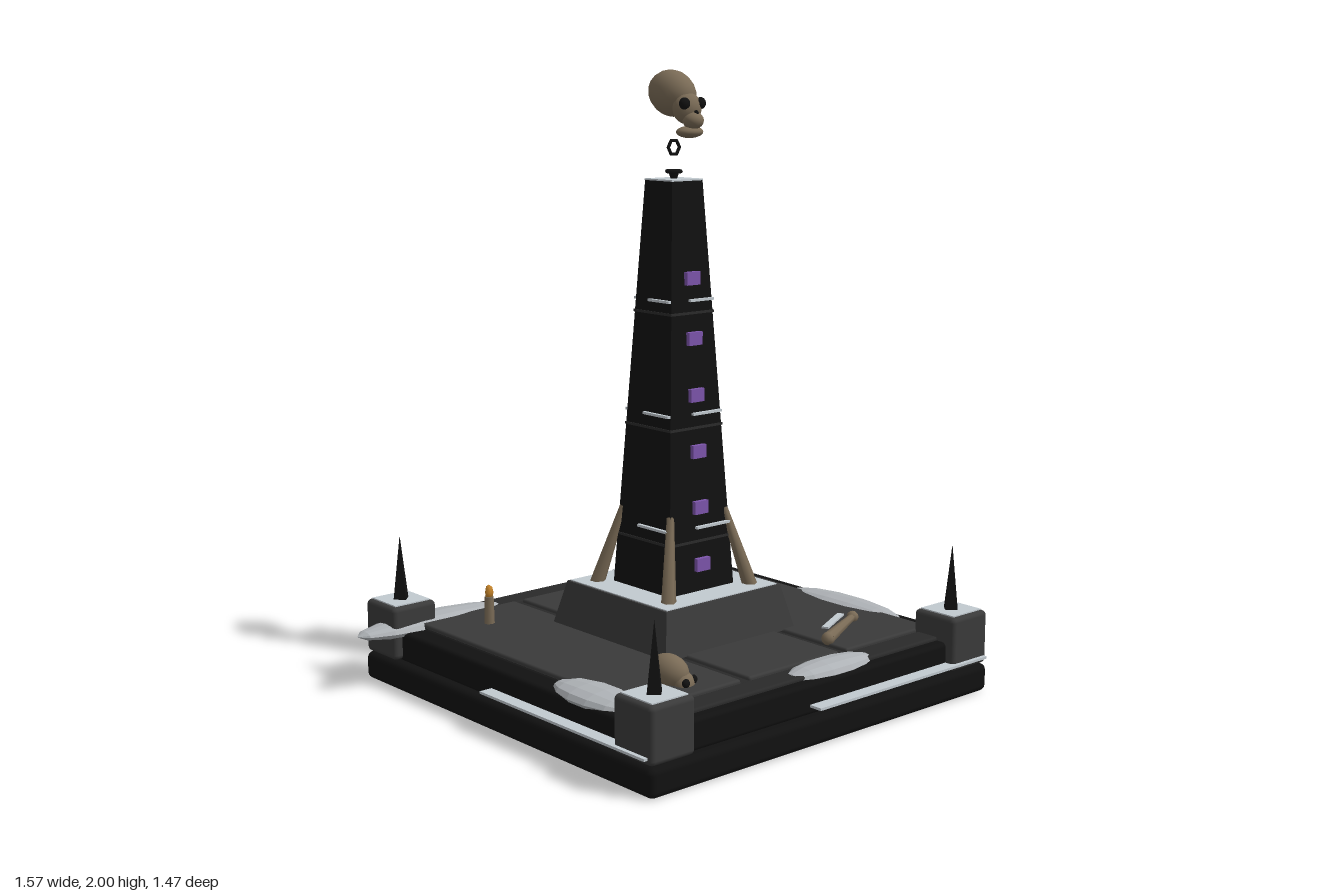
import * as THREE from 'three';
import { RoundedBoxGeometry } from 'three/addons/geometries/RoundedBoxGeometry.js';

const mat = (name, color) => Object.assign(new THREE.MeshStandardMaterial({ color }), { name });

export function createModel() {
  const black = mat('blackStone', 0x111111);
  const stone = mat('darkStone', 0x3a3a3a);
  const seamMat = mat('seamStone', 0x2a2a2a);
  const pale = mat('paleFrost', 0xc2cad0);
  const snow = mat('snow', 0xaeb2b6);
  const bone = mat('bone', 0x7a6b56);
  const purple = mat('purpleGlow', 0x7d55ac);
  const amber = mat('flame', 0xc8862c);

  const model = new THREE.Group();
  model.name = 'graveyardObelisk';
  const root = new THREE.Group(); // centred on the plinth
  root.name = 'monument';
  root.position.x = 0.045;
  model.add(root);

  const add = (parent, name, geo, material, x = 0, y = 0, z = 0) => {
    const m = new THREE.Mesh(geo, material);
    m.name = name;
    m.position.set(x, y, z);
    parent.add(m);
    return m;
  };
  const box = (w, h, d) => new THREE.BoxGeometry(w, h, d);
  const faceted = (geo) => {
    const g = geo.toNonIndexed();
    g.computeVertexNormals();
    return g;
  };
  // square frustum, given half widths
  const frustum = (top, bottom, h) => faceted(
    new THREE.CylinderGeometry(top * Math.SQRT2, bottom * Math.SQRT2, h, 4).rotateY(Math.PI / 4));
  // tapered round bar between two points
  const bar = (parent, name, a, b, ra, rb, material, sides = 6) => {
    const dir = b.clone().sub(a);
    const m = add(parent, name, new THREE.CylinderGeometry(rb, ra, dir.length(), sides), material);
    m.position.copy(a).add(b).multiplyScalar(0.5);
    m.quaternion.setFromUnitVectors(new THREE.Vector3(0, 1, 0), dir.normalize());
    return m;
  };

  // plinth
  add(root, 'lowerSlab', new RoundedBoxGeometry(1.45, 0.092, 1.45, 2, 0.022), black, 0, 0.046, 0);
  add(root, 'upperSlab', new RoundedBoxGeometry(1.38, 0.1, 1.38, 2, 0.015), black, 0, 0.137, 0);
  add(root, 'floorBed', box(1.235, 0.01, 1.13), seamMat, 0, 0.188, 0);
  for (const s of [-1, 1]) {
    add(root, 'edgeBar', new RoundedBoxGeometry(1.235, 0.03, 0.085, 2, 0.008), seamMat, 0, 0.183, s * 0.61);
  }
  for (const i of [-1, 0, 1]) {
    add(root, 'floorPlate', new RoundedBoxGeometry(0.388, 0.03, 1.125, 2, 0.008), stone, i * 0.422, 0.19, 0);
  }

  // corner posts with frosted tops and spikes
  for (const sx of [-1, 1]) for (const sz of [-1, 1]) {
    const post = new THREE.Group();
    post.name = 'cornerPost';
    post.position.set(sx * 0.637, 0, sz * 0.637);
    root.add(post);
    add(post, 'postBlock', new RoundedBoxGeometry(0.168, 0.176, 0.168, 2, 0.016), stone, 0, 0.183, 0);
    add(post, 'postFrost', box(0.135, 0.006, 0.135), pale, 0, 0.272, 0);
    add(post, 'spike', faceted(new THREE.ConeGeometry(0.03, 0.22, 4)), black, 0, 0.378, 0);
  }

  // pedestal and tapered tower
  add(root, 'pedestal', frustum(0.246, 0.28, 0.145), stone, 0, 0.2725, 0);
  add(root, 'pedestalFrost', box(0.476, 0.006, 0.476), pale, 0, 0.345, 0);
  const halfAt = (y) => 0.138 - (y - 0.345) * (0.074 / 1.31);
  add(root, 'tower', frustum(0.064, 0.138, 1.31), black, 0, 1.0, 0);
  add(root, 'towerCap', box(0.13, 0.005, 0.13), pale, 0, 1.656, 0);
  for (const y of [0.51, 0.875, 1.24]) {
    const h = halfAt(y) + 0.003;
    add(root, 'towerSeam', box(2 * h, 0.008, 2 * h), seamMat, 0, y, 0);
  }
  for (const y of [0.435, 0.62, 0.8, 0.98, 1.16, 1.35]) {
    add(root, 'window', box(0.056, 0.042, 0.03), purple, 0, y, halfAt(y));
  }

  // frost ledges, one per side, turned around the axis
  const ledges = [[0.118, 0.727, 0.77, 0.32]];
  for (const y of [0.555, 0.92, 1.28]) {
    const h = halfAt(y);
    ledges.push([y, h + 0.004, 1.15 * h, 0.41 * h]);
  }
  for (const [y, d, len, off] of ledges) {
    for (let i = 0; i < 4; i++) {
      const side = new THREE.Group();
      side.name = 'frostSide';
      side.rotation.y = i * Math.PI / 2;
      root.add(side);
      const depth = y < 0.2 ? 0.09 : 0.025;
      add(side, 'frostLedge', box(len, 0.008, depth), pale, off, y, d - depth / 2 + 0.008);
    }
  }

  // leaning bone struts
  for (const sx of [-1, 1]) for (const sz of [-1, 1]) {
    bar(root, 'boneStrut', new THREE.Vector3(sx * 0.178, 0.335, sz * 0.178),
      new THREE.Vector3(sx * 0.115, 0.6, sz * 0.115), 0.025, 0.012, bone);
  }

  // chain links on the tower top
  add(root, 'linkStem', new THREE.CylinderGeometry(0.018, 0.01, 0.024, 6), black, 0, 1.669, 0);
  add(root, 'lowerLink', new THREE.TorusGeometry(0.024, 0.006, 5, 6).rotateX(Math.PI / 2), black, 0, 1.681, 0);
  add(root, 'upperLink', new THREE.TorusGeometry(0.024, 0.006, 5, 6), black, 0, 1.756, 0);

  // skull, built around the cranium centre
  const skull = (name, x, y, z, scale, yaw) => {
    const g = new THREE.Group();
    g.name = name;
    g.position.set(x, y, z);
    g.scale.setScalar(scale);
    g.rotation.y = yaw;
    root.add(g);
    const ball = (n, m, p, r) => {
      const b = add(g, n, new THREE.SphereGeometry(1, 14, 10), m, ...p);
      b.scale.set(...r);
      return b;
    };
    ball('cranium', bone, [0, 0, 0], [0.064, 0.072, 0.09]).rotation.x = 0.25;
    ball('face', bone, [0, -0.045, 0.07], [0.05, 0.05, 0.042]);
    ball('muzzle', bone, [0, -0.082, 0.098], [0.034, 0.028, 0.034]);
    ball('jaw', bone, [0, -0.118, 0.082], [0.048, 0.019, 0.036]);
    for (const s of [-1, 1]) {
      ball('eyeSocket', black, [s * 0.033, -0.03, 0.095], [0.019, 0.019, 0.016]);
    }
    ball('noseHole', black, [0, -0.062, 0.112], [0.008, 0.012, 0.009]);
  };
  skull('topSkull', 0, 1.924, -0.008, 1, 0);
  skull('groundSkull', -0.402, 0.238, 0.435, 0.72, 0.35);

  // fallen bone with a sliver of frost
  const a = new THREE.Vector3(0.235, 0.217, 0.475);
  const b = new THREE.Vector3(0.47, 0.217, 0.36);
  bar(root, 'fallenBone', a, b, 0.021, 0.012, bone, 8);
  add(root, 'boneKnobNear', new THREE.SphereGeometry(0.022, 8, 6), bone, a.x, a.y, a.z);
  add(root, 'boneKnobFar', new THREE.SphereGeometry(0.02, 8, 6), bone, b.x, b.y, b.z);
  add(root, 'boneFrost', box(0.165, 0.006, 0.022), pale, 0.297, 0.254, 0.436).rotation.y = 0.455;

  // candles: x, z, body top, radius
  for (const [x, z, top, r] of [[-0.448, -0.405, 0.295, 0.018], [0.437, -0.455, 0.32, 0.021]]) {
    add(root, 'candle', new THREE.CylinderGeometry(r * 0.85, r, top - 0.195, 7), bone, x, (top + 0.195) / 2, z);
    add(root, 'candleFlame', new THREE.SphereGeometry(1, 5, 4), amber, x, top + 0.014, z)
      .scale.set(r * 0.85, 0.026, r * 0.85);
  }

  // snow drifts: centre x, z, half length, half width, lies along z
  const drift = faceted(new THREE.SphereGeometry(1, 12, 7).rotateZ(Math.PI / 2));
  for (const [x, z, len, wid, alongZ] of [
    [0.092, 0.617, 0.18, 0.066, false],
    [-0.54, -0.603, 0.29, 0.08, false],
    [0.455, -0.625, 0.22, 0.076, false],
    [0.625, 0.175, 0.25, 0.074, true],
    [-0.617, 0.355, 0.176, 0.083, true],
  ]) {
    const m = add(root, 'snowDrift', drift, snow, x, 0.187, z);
    m.scale.set(len, 0.031, wid);
    if (alongZ) m.rotation.y = Math.PI / 2;
  }
  return model;
}
